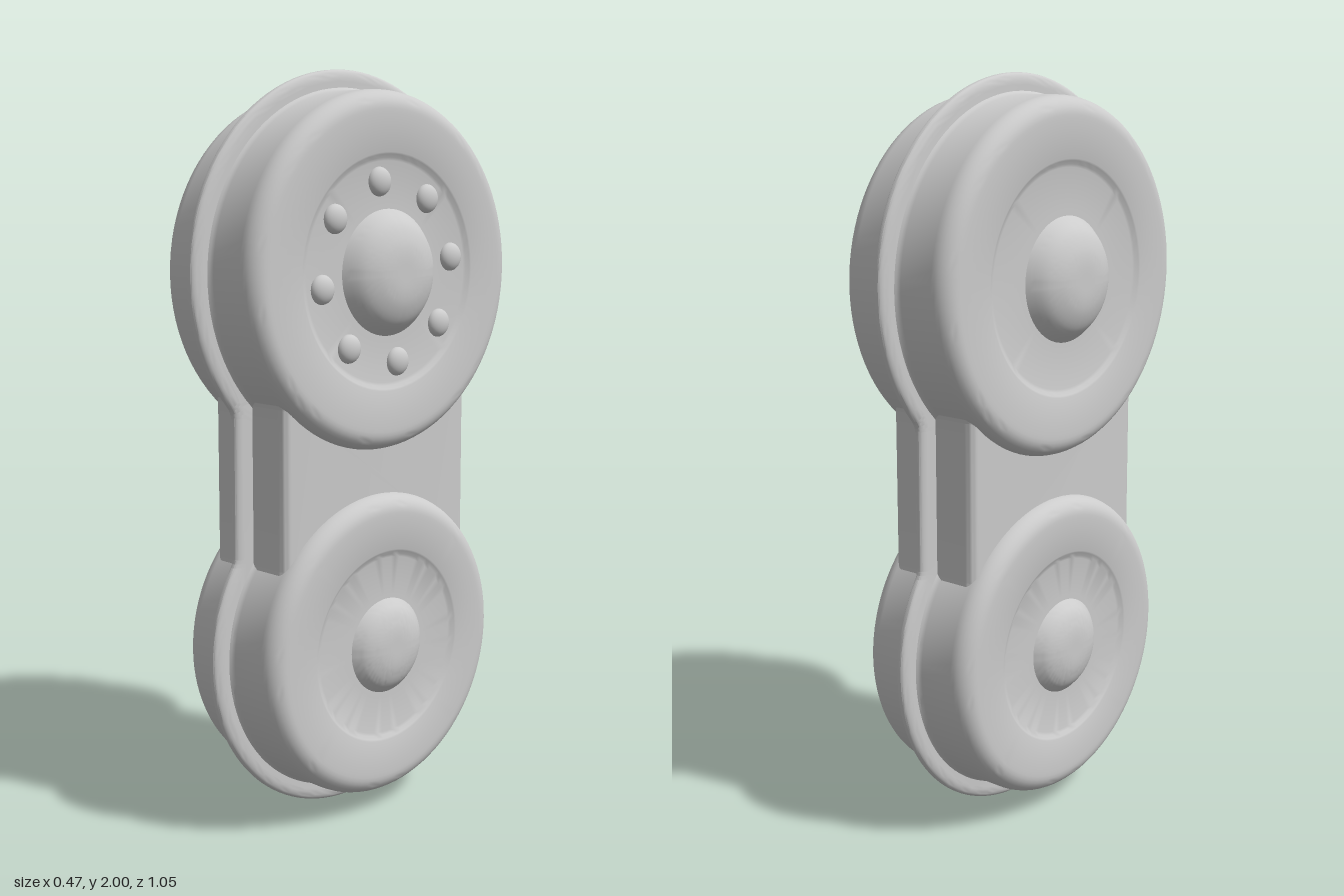
import * as THREE from 'three';
import { toCreasedNormals } from 'three/addons/utils/BufferGeometryUtils.js';

const TOP_Y = 1.475, LOW_Y = 0.47;
const HALF = 0.18;   // half thickness of the drums
const FLOOR = 0.17;  // height of the recessed discs

const material = new THREE.MeshStandardMaterial({ color: 0xcccccc });

function addMesh(parent, name, geometry) {
  const mesh = new THREE.Mesh(geometry, material);
  mesh.name = name;
  parent.add(mesh);
  return mesh;
}

// Outline of two circles joined by a straight waist, with rounded inner corners
function outline(topR, lowR, waist, fillet) {
  const rise = (r) => Math.sqrt((r + fillet) ** 2 - (waist + fillet) ** 2);
  const cx = waist + fillet;
  const topF = TOP_Y - rise(topR), lowF = LOW_Y + rise(lowR);
  const aTop = Math.atan2(topF - TOP_Y, cx), aLow = Math.atan2(lowF - LOW_Y, cx);
  const s = new THREE.Shape();
  s.absarc(0, TOP_Y, topR, aTop, Math.PI - aTop, false);
  s.absarc(-cx, topF, fillet, -aTop, 0, true);
  s.absarc(-cx, lowF, fillet, 0, -aLow, true);
  s.absarc(0, LOW_Y, lowR, Math.PI - aLow, Math.PI * 2 + aLow, false);
  s.absarc(cx, lowF, fillet, Math.PI + aLow, Math.PI, true);
  s.absarc(cx, topF, fillet, Math.PI, Math.PI + aTop, true);
  return s;
}

// Plate lying in the YZ plane, centred on x = 0, with rounded edges
function plate(shape, thickness, bevelThickness, bevelSize) {
  const depth = thickness - 2 * bevelThickness;
  const g = new THREE.ExtrudeGeometry(shape, {
    depth, bevelEnabled: true, bevelThickness, bevelSize,
    bevelOffset: -bevelSize, bevelSegments: 6, curveSegments: 40,
  });
  g.translate(0, 0, -depth / 2).rotateY(Math.PI / 2);
  return toCreasedNormals(g, 0.6);
}

// Drum turned about the x axis: hub dome, recessed disc, rounded rim, both sides alike
function drum(radius, discR, domeR, domeTop) {
  const half = [];
  const h = domeTop - FLOOR;
  const dome = new THREE.SplineCurve([
    [0, 1], [0.3, 0.99], [0.55, 0.87], [0.8, 0.56], [1, 0],
  ].map(([r, y]) => new THREE.Vector2(r * domeR, FLOOR + y * h)));
  half.push(...dome.getPoints(16));
  half[0].x = 0;
  const add = (r, x) => half.push(new THREE.Vector2(r, x));
  add(domeR + 0.01, FLOOR);
  add(discR - 0.022, FLOOR);
  add(discR - 0.014, FLOOR + 0.002);
  add(discR - 0.005, HALF - 0.002);
  add(discR, HALF);
  const f = 0.05;
  add(radius - f - 0.01, HALF);
  for (let i = 0; i <= 8; i++) {
    const a = (i / 8) * Math.PI / 2;
    add(radius - f + f * Math.sin(a), HALF - f + f * Math.cos(a));
  }
  // small flare into the rim flange
  add(radius, 0.03);
  add(radius + 0.004, 0.02);
  add(radius + 0.012, 0.012);
  const mirrored = half.map((p) => new THREE.Vector2(p.x, -p.y));
  const g = new THREE.LatheGeometry([...mirrored, ...half.reverse()], 96);
  g.rotateZ(-Math.PI / 2);
  return toCreasedNormals(g, 0.6);
}

export function createModel() {
  const model = new THREE.Group();
  model.name = 'doubleDrumCase';

  // Drums
  addMesh(model, 'upperDrum', drum(0.47, 0.31, 0.165, 0.237)).position.y = TOP_Y;
  addMesh(model, 'lowerDrum', drum(0.415, 0.265, 0.13, 0.213)).position.y = LOW_Y;

  // Thinner body bridging the drums, and the seam flange round the whole case
  addMesh(model, 'bridgeBody', plate(outline(0.465, 0.41, 0.337, 0.06), 0.28, 0.025, 0.025));
  addMesh(model, 'seamFlange', plate(outline(0.525, 0.47, 0.39, 0.06), 0.032, 0.014, 0.03));

  // Ring of bolts on the left face of the upper drum
  const bolts = new THREE.Group();
  bolts.name = 'bolts';
  bolts.position.set(FLOOR, TOP_Y, 0);
  const boltGeometry = new THREE.SphereGeometry(0.038, 24, 16).scale(0.6, 1, 1);
  for (let i = 0; i < 8; i++) {
    const a = 0.145 + (i * Math.PI) / 4;
    addMesh(bolts, 'bolt', boltGeometry)
      .position.set(0, 0.237 * Math.cos(a), 0.237 * Math.sin(a));
  }
  model.add(bolts);
  return model;
}
